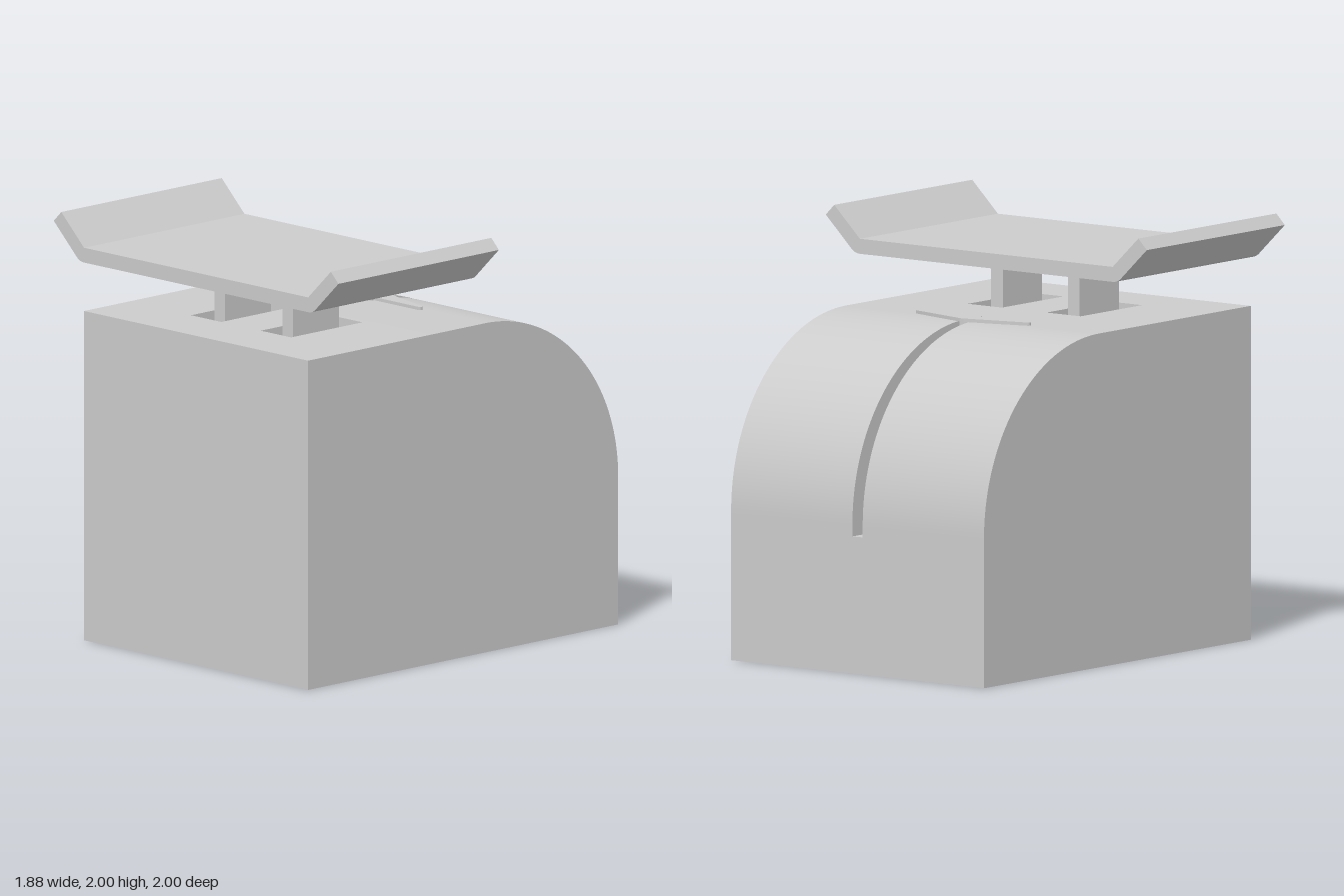
import * as THREE from 'three';
import { mergeGeometries, toCreasedNormals } from 'three/addons/utils/BufferGeometryUtils.js';

const material = new THREE.MeshStandardMaterial({ color: 0xcccccc });
const thinMaterial = new THREE.MeshStandardMaterial({ color: 0xcccccc, side: THREE.DoubleSide });

const W = 0.74, TOP = 1.556, R = 0.86;           // body half width, height, back radius
const HOLE = { x0: 0.13, x1: 0.33, z0: 0.25, z1: 0.71, floor: 1.0 };
const SLOT = { x: 0.03, floor: 0.64 };

function addMesh(group, name, geometry, mat = material) {
  const mesh = new THREE.Mesh(geometry, mat);
  mesh.name = name;
  group.add(mesh);
  return mesh;
}

// Flat panel in the z-y plane at a given x, facing +x or -x
function sidePanel(points, x, sign) {
  const shape = new THREE.Shape(points.map(([z, y]) => new THREE.Vector2(-sign * z, y)));
  return new THREE.ShapeGeometry(shape).rotateY(sign * Math.PI / 2).translate(x, 0, 0);
}

// Side profile (z, y): front, top with post openings, rounded back, bottom
function bodyProfile() {
  const points = [[1, 0], [1, TOP], [HOLE.z1, TOP], [HOLE.z0, TOP]];
  const arcStart = points.length, steps = 48;
  for (let i = 0; i <= steps; i++) {
    const a = (i / steps) * Math.PI / 2;
    points.push([R - 1 - R * Math.sin(a), TOP - R + R * Math.cos(a)]);
  }
  const slotStart = arcStart + 2;
  const slotEnd = points.push([-1, SLOT.floor]) - 1;
  points.push([-1, 0]);
  return { points, slotStart, slotEnd };
}

// Outer skin swept across x, leaving out the cells of the openings
function bodySkin({ points, slotStart, slotEnd }) {
  const xs = [-W, -HOLE.x1, -HOLE.x0, -SLOT.x, SLOT.x, HOLE.x0, HOLE.x1, W];
  const position = [];
  points.forEach((p, row) => {
    const q = points[(row + 1) % points.length];
    for (let col = 0; col < xs.length - 1; col++) {
      const isHole = row === 2 && (col === 1 || col === 5);
      const isSlot = col === 3 && row >= slotStart && row < slotEnd;
      if (isHole || isSlot) continue;
      const a = [xs[col], p[1], p[0]], b = [xs[col + 1], p[1], p[0]];
      const c = [xs[col + 1], q[1], q[0]], d = [xs[col], q[1], q[0]];
      position.push(...a, ...b, ...c, ...a, ...c, ...d);
    }
  });
  const geometry = new THREE.BufferGeometry();
  geometry.setAttribute('position', new THREE.Float32BufferAttribute(position, 3));
  geometry.computeVertexNormals();
  return toCreasedNormals(geometry, 0.5);
}

// Walls and floor of a vertical opening in the top
function wellGeometry(x) {
  const w = HOLE.x1 - HOLE.x0, d = HOLE.z1 - HOLE.z0, h = TOP - HOLE.floor;
  const y = HOLE.floor + h / 2, z = (HOLE.z0 + HOLE.z1) / 2;
  const parts = [new THREE.PlaneGeometry(w, d).rotateX(-Math.PI / 2).translate(x, HOLE.floor, z)];
  for (const s of [-1, 1]) {
    parts.push(new THREE.PlaneGeometry(d, h).rotateY(-s * Math.PI / 2).translate(x + s * w / 2, y, z));
    parts.push(new THREE.PlaneGeometry(w, h).rotateY(s > 0 ? Math.PI : 0).translate(x, y, z + s * d / 2));
  }
  return mergeGeometries(parts);
}

// Walls, floor and end of the slot in the rounded back
function slotGeometry({ points, slotStart, slotEnd }) {
  const [z0, y0] = points[slotStart];
  const wall = [...points.slice(slotStart, slotEnd + 1), [z0, SLOT.floor]];
  const w = SLOT.x * 2, h = y0 - SLOT.floor, d = z0 + 1;
  return mergeGeometries([
    sidePanel(wall, -SLOT.x, 1),
    sidePanel(wall, SLOT.x, -1),
    new THREE.PlaneGeometry(w, d).rotateX(-Math.PI / 2).translate(0, SLOT.floor, -1 + d / 2),
    new THREE.PlaneGeometry(w, h).rotateY(Math.PI).translate(0, SLOT.floor + h / 2, z0),
  ]);
}

// Tray cross-section with upturned edges, extruded along z
function trayGeometry() {
  const t = 0.07, x = 0.74, top = 1.855, rise = 0.145, k = t * Math.SQRT1_2;
  const s = new THREE.Shape();
  s.moveTo(-x, top);
  s.lineTo(-x - rise - 0.005, 2);
  s.lineTo(-x - rise - 0.005 - k, 2 - k);
  s.absarc(-x, top, t, Math.PI * 1.25, Math.PI * 1.5, false);
  s.absarc(x, top, t, Math.PI * 1.5, Math.PI * 1.75, false);
  s.lineTo(x + rise + 0.005 + k, 2 - k);
  s.lineTo(x + rise + 0.005, 2);
  s.lineTo(x, top);
  const g = new THREE.ExtrudeGeometry(s, { depth: 1.035, bevelEnabled: false, curveSegments: 8 });
  return toCreasedNormals(g.translate(0, 0, -0.035), 0.5);
}

// Flat winged pointer with a small round tab, drawn in x and -z
function pointerGeometry() {
  const s = new THREE.Shape();
  s.moveTo(0.03, 0.118);
  s.lineTo(0.32, 0.118);
  s.absarc(0.32, 0.131, 0.013, -Math.PI / 2, Math.PI * 0.42, false);
  s.lineTo(0.02, 0.218);
  s.quadraticCurveTo(0, 0.225, -0.02, 0.218);
  s.absarc(-0.32, 0.131, 0.013, Math.PI * 0.58, Math.PI * 1.5, false);
  s.lineTo(-0.03, 0.118);
  s.absarc(0, 0.115, 0.03, Math.PI, Math.PI * 2, false);
  const g = new THREE.ExtrudeGeometry(s, { depth: 0.016, bevelEnabled: false, curveSegments: 10 });
  return toCreasedNormals(g.rotateX(-Math.PI / 2).translate(0, 1.555, 0), 0.5);
}

export function createModel() {
  const model = new THREE.Group();
  model.name = 'kitchenScale';

  // Housing
  const body = new THREE.Group();
  body.name = 'body';
  model.add(body);
  const profile = bodyProfile();
  addMesh(body, 'bodyShell', bodySkin(profile));
  addMesh(body, 'leftSide', sidePanel(profile.points, W, 1));
  addMesh(body, 'rightSide', sidePanel(profile.points, -W, -1));
  addMesh(body, 'backSlot', slotGeometry(profile), thinMaterial);

  // Posts standing in their openings
  const postTop = 1.79, postHeight = postTop - HOLE.floor;
  for (const [side, sign] of [['left', 1], ['right', -1]]) {
    addMesh(body, side + 'PostOpening', wellGeometry(sign * 0.23), thinMaterial);
    const post = addMesh(model, side + 'Post', new THREE.BoxGeometry(0.07, postHeight, 0.295));
    post.position.set(sign * 0.225, HOLE.floor + postHeight / 2, 0.48);
  }

  // Weighing tray and pointer
  addMesh(model, 'tray', trayGeometry());
  addMesh(model, 'pointer', pointerGeometry());

  return model;
}
